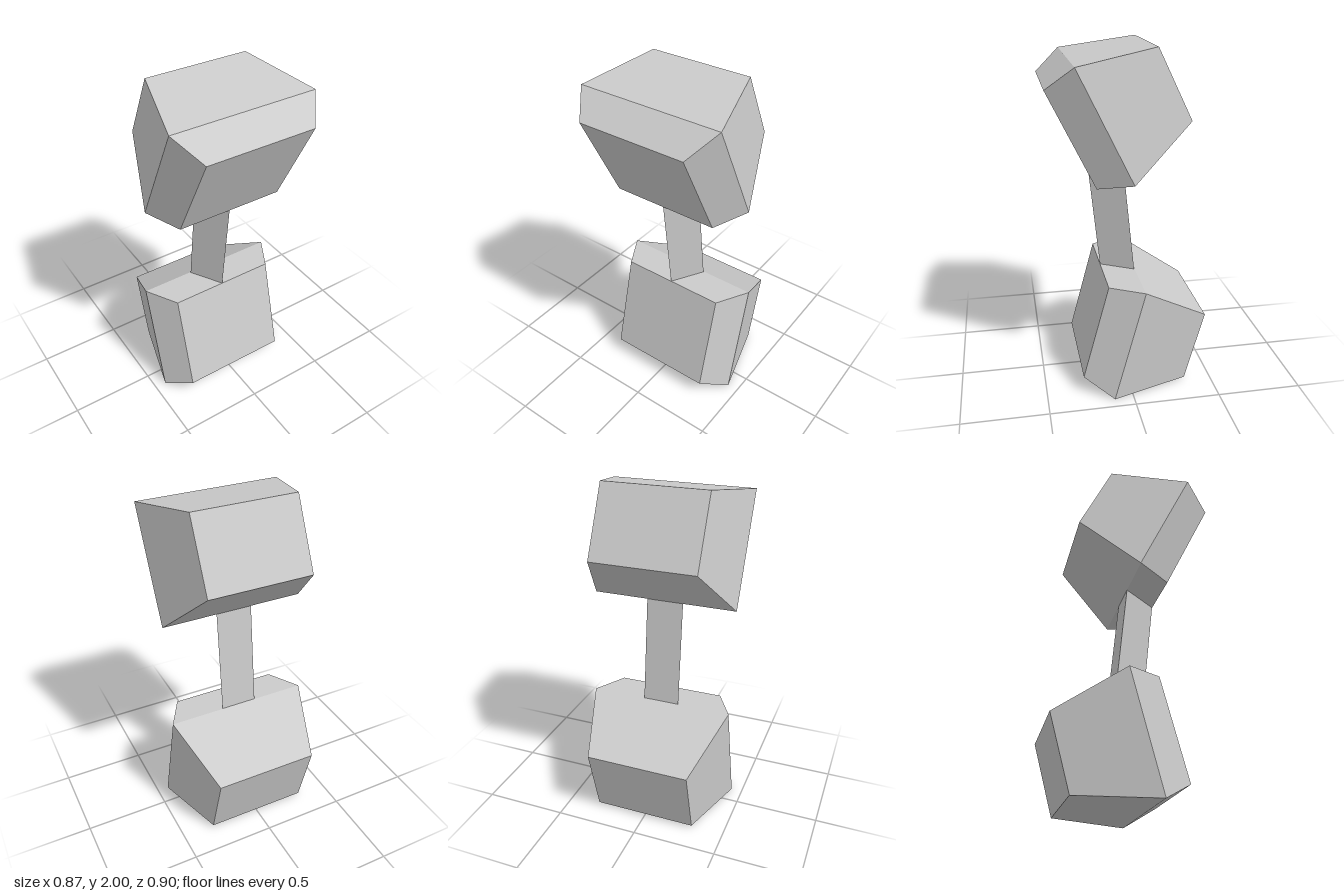
import * as THREE from 'three';

const material = new THREE.MeshStandardMaterial({ color: 0xcccccc, flatShading: true });

// Closed faceted solid through rings of corners; each ring runs anticlockwise
// as seen from the first ring's end.
function skin(name, rings) {
  const pos = [];
  const tri = (...corners) => corners.forEach((c) => pos.push(...c));
  const n = rings[0].length;
  for (let r = 0; r < rings.length - 1; r++) {
    const a = rings[r], b = rings[r + 1];
    for (let i = 0; i < n; i++) {
      const j = (i + 1) % n;
      tri(a[i], b[i], b[j]);
      tri(a[i], b[j], a[j]);
    }
  }
  const first = rings[0], last = rings[rings.length - 1];
  for (let i = 1; i < n - 1; i++) {
    tri(first[0], first[i], first[i + 1]);
    tri(last[0], last[i + 1], last[i]);
  }
  const geometry = new THREE.BufferGeometry();
  geometry.setAttribute('position', new THREE.Float32BufferAttribute(pos, 3));
  geometry.computeVertexNormals();
  const mesh = new THREE.Mesh(geometry, material);
  mesh.name = name;
  return mesh;
}

// Rectangle of half width w between a bottom and a top edge, each [z, y]
const rectangle = (w, [zb, yb], [zt, yt]) =>
  [[-w, yb, zb], [w, yb, zb], [w, yt, zt], [-w, yt, zt]];

// Triangle with one corner in front and two behind, each [z, y]
const triangle = (x, w, [zf, yf], [zb, yb]) =>
  [[x, yf, zf], [x + w, yb, zb], [x - w, yb, zb]];

export function createModel() {
  const group = new THREE.Group();
  group.name = 'blockFigure';

  // Upper block: front face, widest girth, back face
  group.add(skin('upperBlock', [
    rectangle(0.324, [0.19, 1.265], [0.452, 1.8]),
    rectangle(0.433, [0.003, 1.305], [0.306, 1.925]),
    rectangle(0.308, [-0.331, 1.61], [-0.14, 2.0]),
  ]));

  // Three-sided waist, leaning slightly forward
  group.add(skin('waist', [
    triangle(-0.006, 0.11, [0.19, 1.265], [0.003, 1.305]),
    triangle(-0.006, 0.11, [0.128, 0.674], [-0.062, 0.674]),
  ]));

  // Lower block: front face, widest girth, back face
  group.add(skin('lowerBlock', [
    rectangle(0.324, [0.281, 0.1], [0.128, 0.674]),
    rectangle(0.433, [0.113, 0], [-0.065, 0.674]),
    rectangle(0.308, [-0.337, 0.017], [-0.452, 0.438]),
  ]));

  return group;
}
